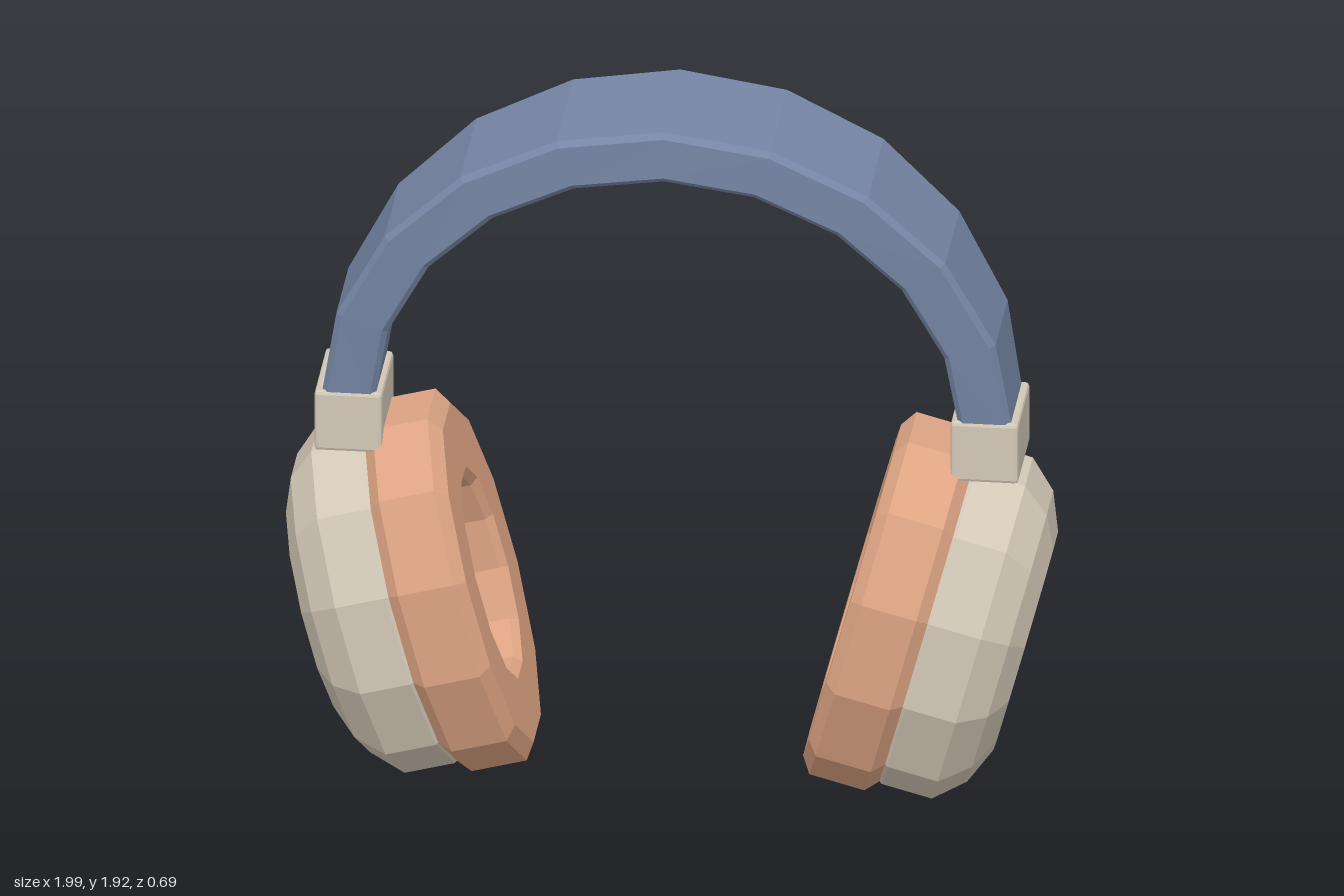
import * as THREE from 'three';
import { RoundedBoxGeometry } from 'three/addons/geometries/RoundedBoxGeometry.js';

const flat = (name, color) => {
  const m = new THREE.MeshStandardMaterial({ color, flatShading: true });
  m.name = name;
  return m;
};

const mesh = (name, geometry, material) => {
  const m = new THREE.Mesh(geometry, material);
  m.name = name;
  return m;
};

// Chamfered strap swept over the head in ten segments, widest at the crown
function bandGeometry() {
  const steps = 10, bevel = 0.015, pos = [], index = [];
  for (let i = 0; i <= steps; i++) {
    const a = (Math.PI * i) / steps, c = Math.cos(a), s = Math.sin(a);
    const w = 0.128 + 0.077 * s;
    const section = [
      [0, bevel - w], [0, w - bevel], [bevel, w], [0.14 - bevel, w],
      [0.14, w - bevel], [0.14, bevel - w], [0.14 - bevel, -w], [bevel, -w],
    ];
    for (const [inset, z] of section) pos.push((0.9 - inset) * c, 1.07 + (0.85 - inset) * s, z);
  }
  for (let i = 0; i < steps; i++) {
    for (let k = 0; k < 8; k++) {
      const a = i * 8 + k, b = i * 8 + ((k + 1) % 8), d = a + 8, c = b + 8;
      index.push(a, d, c, a, c, b);
    }
  }
  const g = new THREE.BufferGeometry();
  g.setAttribute('position', new THREE.Float32BufferAttribute(pos, 3));
  g.setIndex(index);
  g.computeVertexNormals();
  return g;
}

// Twelve-sided oval turned around the x axis; profile is [distance outward, half height]
function ovalGeometry(profile) {
  const k = 1 / Math.cos(Math.PI / 12);
  const points = profile.map(([s, r]) => new THREE.Vector2(r * k, s));
  const g = new THREE.LatheGeometry(points, 12, Math.PI / 12);
  g.rotateZ(-Math.PI / 2);
  g.scale(1, 1, 0.69);
  return g;
}

export function createModel() {
  const model = new THREE.Group();
  model.name = 'headphones';
  const blue = flat('slate blue', 0x7686a5);
  const cream = flat('warm cream', 0xd3c8b6);
  const tan = flat('tan leather', 0xdda483);

  model.add(mesh('headband', bandGeometry(), blue));

  const cushionShape = ovalGeometry([
    [0.45, 0], [0.45, 0.265], [0.33, 0.265], [0.31, 0.285],
    [0.31, 0.455], [0.339, 0.498], [0.487, 0.498], [0.517, 0.465],
  ]);
  const shellShape = ovalGeometry([
    [0.5, 0], [0.5, 0.45], [0.525, 0.469], [0.66, 0.469], [0.735, 0.4], [0.777, 0.3], [0.777, 0],
  ]);
  const blockShape = new RoundedBoxGeometry(0.176, 0.17, 0.27, 1, 0.01);
  const neckShape = new THREE.BoxGeometry(0.1, 0.1, 0.16);

  // Each side: connector block, neck and a tilted ear cup
  for (const side of ['left', 'right']) {
    const half = new THREE.Group();
    half.name = side + 'Side';
    const block = mesh(side + 'Connector', blockShape, cream);
    block.position.set(0.826, 1.02, 0);
    const neck = mesh(side + 'Neck', neckShape, cream);
    neck.position.set(0.835, 0.91, 0);
    neck.rotation.z = -Math.PI / 12;

    const cup = new THREE.Group();
    cup.name = side + 'EarCup';
    cup.rotation.z = -Math.PI / 12;
    const cushion = mesh(side + 'Cushion', cushionShape, tan);
    const shell = mesh(side + 'Shell', shellShape, cream);
    cushion.position.y = shell.position.y = 0.65;
    cup.add(cushion, shell);

    half.add(block, neck, cup);
    if (side === 'right') half.rotation.y = Math.PI;
    model.add(half);
  }
  return model;
}
